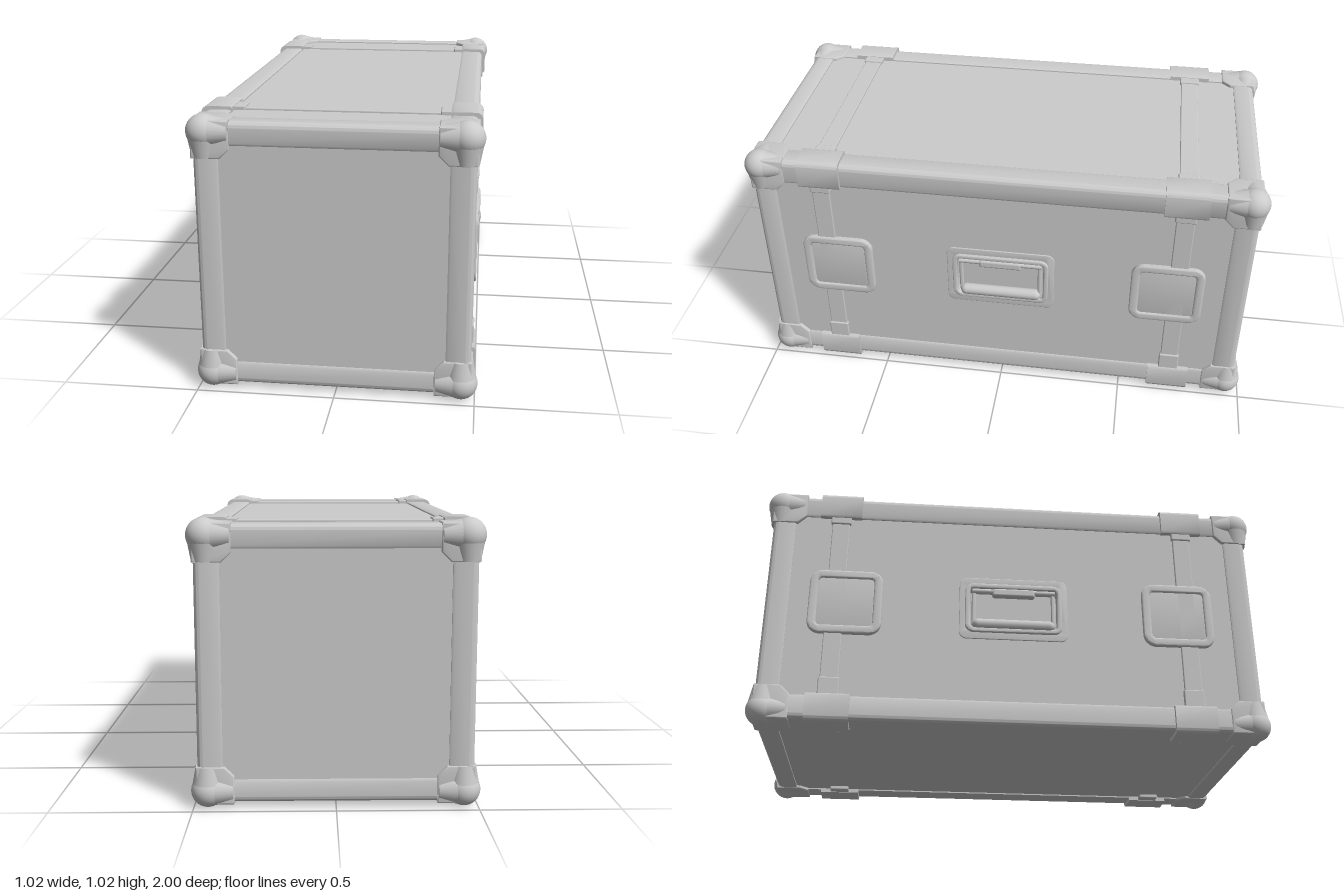
import * as THREE from 'three';
import { toCreasedNormals } from 'three/addons/utils/BufferGeometryUtils.js';
import { RoundedBoxGeometry } from 'three/addons/geometries/RoundedBoxGeometry.js';

const MAT = new THREE.MeshStandardMaterial({ color: 0xcccccc });
const HX = 0.485, HY = 0.487, HZ = 0.97; // half sizes over the rails
const SKIN = 0.009;                      // panels sit this far below the rails
const MID = 0.508;                       // height of the case centre
const LEG = 0.095;                       // rail width on each face
const BELT = 0.7;                        // distance of the lid joints from the middle

function add(parent, name, geo, x = 0, y = 0, z = 0) {
  const mesh = new THREE.Mesh(geo, MAT);
  mesh.name = name;
  mesh.position.set(x, y, z);
  parent.add(mesh);
  return mesh;
}

function group(parent, name) {
  const g = new THREE.Group();
  g.name = name;
  parent.add(g);
  return g;
}

function extrude(shape, depth, bevel = 0) {
  const geo = new THREE.ExtrudeGeometry(shape, {
    depth: depth - bevel, bevelEnabled: bevel > 0, bevelThickness: bevel,
    bevelSize: bevel, bevelOffset: -bevel, bevelSegments: 3, curveSegments: 8,
  });
  return toCreasedNormals(geo, 0.7);
}

function roundRect(path, w, h, r, cx = 0, cy = 0) {
  const x = w / 2 - r, y = h / 2 - r;
  path.absarc(cx + x, cy + y, r, 0, Math.PI / 2);
  path.absarc(cx - x, cy + y, r, Math.PI / 2, Math.PI);
  path.absarc(cx - x, cy - y, r, Math.PI, Math.PI * 1.5);
  path.absarc(cx + x, cy - y, r, Math.PI * 1.5, Math.PI * 2);
  path.closePath();
  return path;
}

const plateShape = (w, h, r) => roundRect(new THREE.Shape(), w, h, r);

function frameShape(w, h, r, rim) {
  const s = plateShape(w, h, r);
  s.holes.push(roundRect(new THREE.Path(), w - 2 * rim, h - 2 * rim, Math.max(r - rim, 0.012)));
  return s;
}

// Angle section with a rounded outer corner at the origin, centred along z
function angleBar(leg, thick, radius, length) {
  const s = new THREE.Shape();
  s.moveTo(-leg, -thick);
  s.lineTo(-thick, -thick);
  s.lineTo(-thick, -leg);
  s.lineTo(-0.004, -leg);
  s.lineTo(0, -leg + 0.008);
  s.absarc(-radius, -radius, radius, 0, Math.PI / 2);
  s.lineTo(-leg + 0.008, 0);
  s.lineTo(-leg, -0.004);
  s.closePath();
  return extrude(s, length).translate(0, 0, -length / 2);
}

// Repeats a corner piece in four quadrants by quarter turns
function fourCorners(parent, name, geo, u, v, z = 0) {
  [[1, 1], [-1, 1], [-1, -1], [1, -1]].forEach(([a, b], i) => {
    add(parent, name, geo, a * u, b * v, z).rotation.z = i * Math.PI / 2;
  });
}

// Corner cap plate, corner at the origin, inner corner cut off
function capPlate() {
  const s = new THREE.Shape();
  const r = 0.03, L = 0.134, c = 0.034;
  s.moveTo(-L, 0);
  s.lineTo(-L, -L + c);
  s.lineTo(-L + c, -L);
  s.lineTo(0, -L);
  s.absarc(-r, -r, r, 0, Math.PI / 2);
  s.closePath();
  return extrude(s, 0.03, 0.005);
}

function buildSide(side) {
  const face = HX - SKIN;

  // side panel with an opening for the sunken handle
  const panel = new THREE.Shape();
  roundRect(panel, 2 * (HZ - 0.02), 2 * (HY - 0.02), 0.01);
  panel.holes.push(roundRect(new THREE.Path(), 0.35, 0.18, 0.02, 0, 0.006));
  add(side, 'sidePanel', extrude(panel, 0.04), 0, 0, face - 0.04);

  // recessed handle
  const handle = group(side, 'handle');
  handle.position.set(0, 0.006, face);
  add(handle, 'handlePlate', extrude(frameShape(0.43, 0.27, 0.03, 0.04), 0.004, 0.002), 0, 0, 0);
  add(handle, 'handleFrame', extrude(frameShape(0.385, 0.215, 0.035, 0.02), 0.013, 0.005), 0, 0, 0);
  const bar = new THREE.CapsuleGeometry(0.023, 0.28, 6, 16).rotateZ(Math.PI / 2);
  add(handle, 'grip', bar, 0, -0.072, 0.001);
  add(handle, 'hingeRod', new THREE.CylinderGeometry(0.011, 0.011, 0.33, 12).rotateZ(Math.PI / 2), 0, 0.075, 0.002);
  add(handle, 'hingeClamp', new RoundedBoxGeometry(0.17, 0.035, 0.03, 3, 0.01), 0, 0.07, 0);
  for (const s of [-1, 1]) {
    add(handle, 'handleArm', new RoundedBoxGeometry(0.016, 0.15, 0.018, 2, 0.006), s * 0.158, 0, -0.002);
  }

  for (const s of [-1, 1]) {
    // latch dishes
    const latch = group(side, 'latch');
    latch.position.set(s * 0.66, 0.005, face);
    add(latch, 'latchRim', extrude(frameShape(0.285, 0.275, 0.05, 0.034), 0.016, 0.007));
    add(latch, 'latchDish', extrude(plateShape(0.24, 0.23, 0.03), 0.009, 0.003));

    // joint strip and bracket tongues
    add(side, 'jointStrip', new RoundedBoxGeometry(0.07, 0.8, 0.02, 2, 0.004), s * BELT, 0, face - 0.001);
    add(side, 'upperTongue', new RoundedBoxGeometry(0.08, 0.09, 0.024, 2, 0.005), s * BELT, 0.405, face + 0.003);
    add(side, 'lowerTongue', new RoundedBoxGeometry(0.08, 0.12, 0.024, 2, 0.005), s * BELT, -0.26 - 0.12 / 2 + 0.0, face + 0.003)
      .position.y = -0.378;
  }
}

export function createModel() {
  const model = new THREE.Group();
  model.name = 'flightCase';
  const body = group(model, 'case');
  body.position.y = MID;

  // core, narrower in x so that the side panels can be sunken
  add(body, 'core', new THREE.BoxGeometry(2 * (HX - 0.045), 2 * (HY - SKIN), 2 * (HZ - SKIN)));

  // side panels with hardware
  for (const s of [-1, 1]) {
    const side = group(body, s > 0 ? 'leftSide' : 'rightSide');
    side.rotation.y = s * Math.PI / 2;
    buildSide(side);
  }

  // edge rails along z, x and y
  const alongZ = group(body, 'railsLengthwise');
  fourCorners(alongZ, 'rail', angleBar(LEG, 0.025, 0.022, 2 * HZ - 0.06), HX, HY);
  const alongX = group(body, 'railsCrosswise');
  alongX.rotation.y = Math.PI / 2;
  fourCorners(alongX, 'rail', angleBar(LEG - 0.012, 0.025, 0.022, 2 * HX - 0.06), HZ, HY);
  const alongY = group(body, 'railsUpright');
  alongY.rotation.x = -Math.PI / 2;
  fourCorners(alongY, 'rail', angleBar(LEG - 0.005, 0.025, 0.022, 2 * HY - 0.06), HX, HZ);

  // brackets clamped over the long rails at the lid joints
  const clamp = angleBar(LEG + 0.016, 0.03, 0.025, 0.165);
  for (const s of [-1, 1]) {
    fourCorners(alongZ, 'bracket', clamp, HX + 0.014, HY + 0.012, s * BELT);
    add(body, 'topStrip', new RoundedBoxGeometry(0.75, 0.02, 0.07, 2, 0.004), 0, HY - SKIN - 0.002, s * BELT);
    for (const a of [-1, 1]) for (const b of [-1, 1]) {
      add(body, 'bracketTongue', new RoundedBoxGeometry(0.09, 0.024, 0.08, 2, 0.005),
        a * 0.395, b * (HY - 0.006), s * BELT);
    }
  }

  // corner cap plates on all six faces
  const plate = capPlate();
  const faces = [
    ['y', 0, HX, HY, HZ], ['y', Math.PI, HX, HY, HZ],
    ['y', Math.PI / 2, HZ, HY, HX], ['y', -Math.PI / 2, HZ, HY, HX],
    ['x', Math.PI / 2, HX, HZ, HY], ['x', -Math.PI / 2, HX, HZ, HY],
  ];
  for (const [axis, angle, u, v, n] of faces) {
    const caps = group(body, 'cornerCaps');
    caps.rotation[axis] = angle;
    fourCorners(caps, 'capPlate', plate, u + 0.004, v + 0.004, n + 0.005 - 0.03);
  }

  // ball corners with tapering arms along the three rails
  const R = 0.06, ARM = 0.09;
  const arm = new THREE.CylinderGeometry(0.042, R * 0.98, ARM, 24).translate(0, ARM / 2, 0);
  for (const x of [-1, 1]) for (const y of [-1, 1]) for (const z of [-1, 1]) {
    const ball = group(body, 'ballCorner');
    ball.position.set(x * (0.51 - R), y * (MID - R), z * (1 - R));
    add(ball, 'ball', new THREE.SphereGeometry(R, 28, 18));
    add(ball, 'armUpright', arm).rotation.x = y > 0 ? Math.PI : 0;
    add(ball, 'armCrosswise', arm).rotation.z = x * Math.PI / 2;
    add(ball, 'armLengthwise', arm).rotation.x = -z * Math.PI / 2;
  }
  return model;
}
